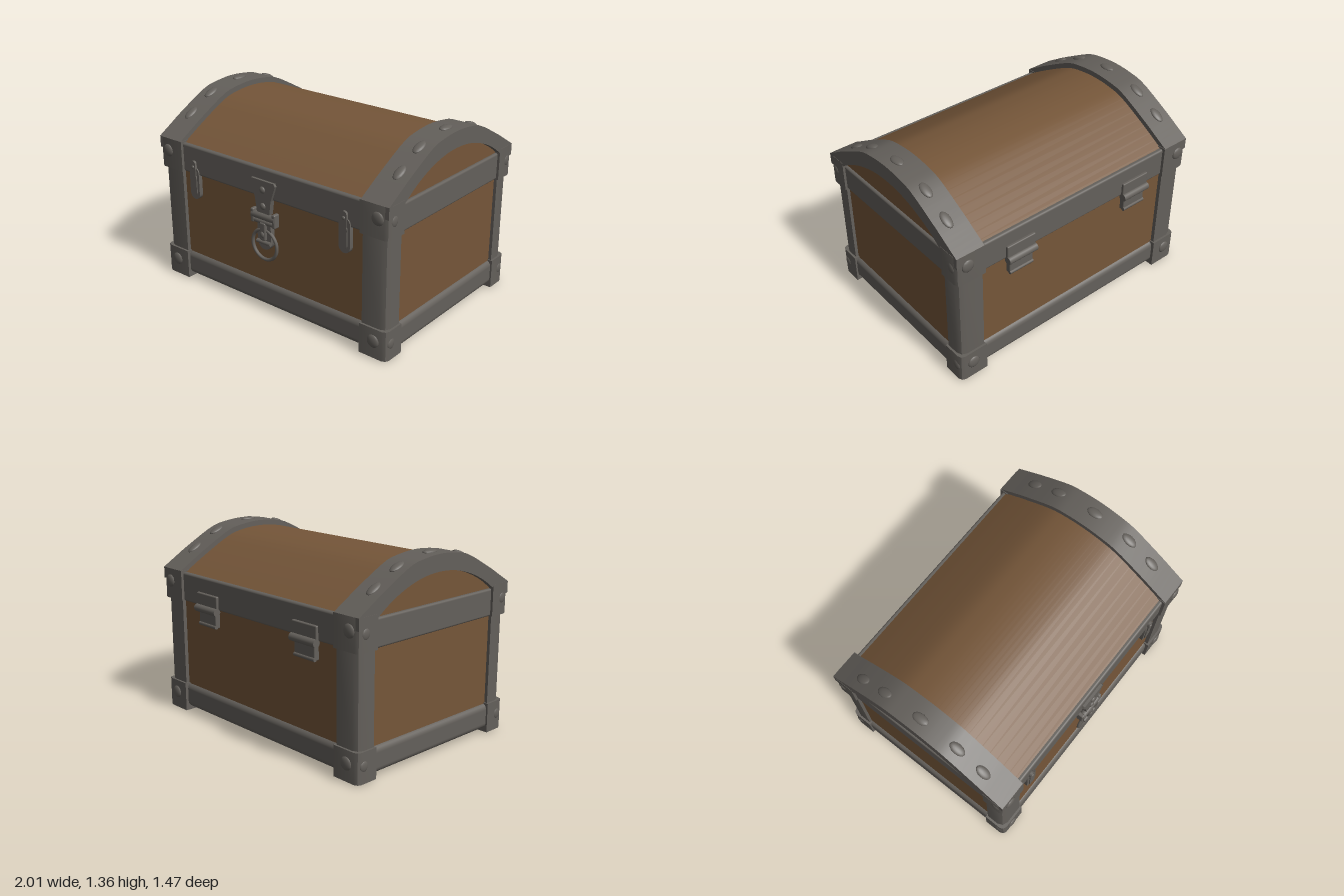
import * as THREE from 'three';
import { toCreasedNormals } from 'three/addons/utils/BufferGeometryUtils.js';
import { RoundedBoxGeometry } from 'three/addons/geometries/RoundedBoxGeometry.js';

const V = (x, y) => new THREE.Vector2(x, y);

export function createModel() {
  const chest = new THREE.Group();
  chest.name = 'chest';
  const wood = new THREE.MeshStandardMaterial({ color: 0x755639 });
  wood.name = 'brown wood';
  const metal = new THREE.MeshStandardMaterial({ color: 0x64605b });
  metal.name = 'dark metal';

  const add = (name, geo, mat, x = 0, y = 0, z = 0, parent = chest) => {
    const m = new THREE.Mesh(geo, mat);
    m.name = name;
    m.position.set(x, y, z);
    parent.add(m);
    return m;
  };
  const extrude = (pts, depth) => new THREE.ExtrudeGeometry(new THREE.Shape(pts), { depth, bevelEnabled: false });

  // mirrored arch curve sampled from a half profile of [z, y] points
  const arch = (half) => {
    const right = half.map(([z, y]) => V(z, y));
    const left = half.slice(0, -1).reverse().map(([z, y]) => V(-z, y));
    return new THREE.SplineCurve([...right, ...left]).getPoints(32);
  };
  // extrude a (z, y) profile along x, centred on x = 0
  const alongX = (pts, width) => toCreasedNormals(
    extrude(pts, width).rotateY(-Math.PI / 2).translate(width / 2, 0, 0), 0.6);

  // wooden body and lid
  add('body', new THREE.BoxGeometry(1.92, 0.96, 1.34), wood, 0, 0.54, 0);
  const lidArc = arch([[0.685, 1.035], [0.5, 1.145], [0.28, 1.26], [0.14, 1.295], [0, 1.305]]);
  add('lid', alongX([V(0.685, 0.98), ...lidArc, V(-0.685, 0.98)], 1.92), wood);

  // arched metal bands at both ends of the lid
  const outer = arch([[0.71, 1.06], [0.61, 1.12], [0.5, 1.185], [0.28, 1.3], [0.15, 1.331], [0, 1.343]]);
  const inner = arch([[0.56, 1.03], [0.44, 1.11], [0.3, 1.175], [0.15, 1.217], [0, 1.23]]).reverse();
  const bandGeo = alongX([V(0.71, 0.98), ...outer, V(-0.71, 0.98), V(-0.56, 0.98), ...inner, V(0.56, 0.98)], 0.21);

  // upright with a chamfered outer corner; sx and sz choose the corner
  const upright = (sx, sz, x0, x1, z0, z1, y0, y1, c) => {
    const pts = [[x0, z0], [x1, z0], [x1, z1 - c], [x1 - c * 0.3, z1 - c * 0.3], [x1 - c, z1], [x0, z1]];
    const geo = extrude(pts.map(([x, z]) => V(x * sx, -z * sz)), y1 - y0);
    return toCreasedNormals(geo.rotateX(-Math.PI / 2).translate(0, y0, 0), 0.7);
  };
  const dome = new THREE.SphereGeometry(1, 14, 10);
  const rivet = (x, y, z, rx, ry, rz, parent = chest) => {
    const m = add('rivet', dome, metal, x, y, z, parent);
    m.scale.set(rx, ry, rz);
    return m;
  };

  for (const sx of [-1, 1]) {
    add('lidBand', bandGeo, metal, sx * 0.89, 0, 0);
    for (const [z, y, tilt] of [[0.49, 1.19, 0.52], [0.29, 1.295, 0.4], [0, 1.343, 0], [-0.3, 1.29, -0.4], [-0.5, 1.185, -0.52]])
      rivet(sx * 0.905, y, z, 0.034, 0.016, 0.06).rotation.x = tilt;
    // end rails
    add('lowerEndRail', new RoundedBoxGeometry(0.17, 0.185, 1.2, 4, 0.045), metal, sx * 0.9, 0.125, 0);
    add('upperEndRail', new RoundedBoxGeometry(0.12, 0.19, 1.2, 3, 0.015), metal, sx * 0.92, 0.935, 0);
    // corner posts, caps and their rivets
    for (const sz of [-1, 1]) {
      add('cornerPost', upright(sx, sz, 0.795, 0.982, 0.56, 0.697, 0.2, 0.86, 0.05), metal);
      add('bottomCap', upright(sx, sz, 0.785, 0.997, 0.55, 0.712, 0.01, 0.22, 0.035), metal);
      add('topCap', upright(sx, sz, 0.78, 0.997, 0.55, 0.712, 0.84, 1.06, 0.035), metal);
      rivet(sx * 0.915, 0.97, sz * 0.712, 0.045, 0.045, 0.016);
      rivet(sx * 0.895, 0.13, sz * 0.712, 0.045, 0.045, 0.016);
      rivet(sx * 0.99, 0.955, sz * 0.65, 0.014, 0.04, 0.035);
      rivet(sx * 0.99, 0.125, sz * 0.655, 0.014, 0.04, 0.035);
      rivet(sx * 0.9, 0.012, sz * 0.64, 0.045, 0.012, 0.04);
    }
  }

  // long rails, front and back
  for (const sz of [-1, 1]) {
    add('lowerLongRail', new RoundedBoxGeometry(1.64, 0.185, 0.14, 4, 0.045), metal, 0, 0.127, sz * 0.622);
    add('upperLongRail', new RoundedBoxGeometry(1.64, 0.207, 0.1, 3, 0.015), metal, 0, 0.944, sz * 0.642);
  }

  // small front catches: a rounded strap with a narrow tongue and pin
  const capsule = (w, y0, y1) => {
    const pts = [];
    for (let i = 0; i <= 20; i++) {
      const a = (i % 11) / 10 * Math.PI + (i > 10 ? Math.PI : 0);
      pts.push(V(Math.cos(a) * w, (i > 10 ? y0 + w : y1 - w) + Math.sin(a) * w));
    }
    pts.push(V(w, y0 + w));
    return pts;
  };
  for (const x of [-0.675, 0.655]) {
    const g = new THREE.Group();
    g.name = 'frontCatch';
    g.position.x = x;
    chest.add(g);
    add('strap', toCreasedNormals(extrude(capsule(0.045, 0.66, 0.9), 0.035), 0.6), metal, 0, 0, 0.665, g);
    add('strapRidge', toCreasedNormals(extrude(capsule(0.026, 0.69, 0.85), 0.01), 0.6), metal, 0, 0, 0.698, g);
    add('tongue', toCreasedNormals(extrude(capsule(0.022, 0.82, 0.945), 0.02), 0.6), metal, 0, 0, 0.688, g);
    rivet(0, 0.9, 0.706, 0.014, 0.014, 0.01, g);
  }

  // central latch
  const latch = new THREE.Group();
  latch.name = 'latch';
  latch.position.x = -0.017;
  chest.add(latch);
  const plate = [[-0.055, 0.74], [0.055, 0.74], [0.07, 0.84], [0.11, 0.95], [0.1, 0.97], [-0.1, 0.97], [-0.11, 0.95], [-0.07, 0.84]];
  add('latchPlate', extrude(plate.map(([x, y]) => V(x, y)), 0.035), metal, 0, 0, 0.675, latch);
  for (const y of [0.905, 0.79]) rivet(0, y, 0.71, 0.024, 0.024, 0.014, latch);
  for (const [y, r, w] of [[0.715, 0.026, 0.2], [0.675, 0.018, 0.17]])
    add('latchBarrel', new THREE.CylinderGeometry(r, r, w, 12).rotateZ(Math.PI / 2), metal, 0, y, 0.7, latch);
  for (const s of [-1, 1])
    add('latchLug', new RoundedBoxGeometry(0.03, 0.1, 0.05, 2, 0.01), metal, s * 0.095, 0.705, 0.695, latch);
  add('hasp', toCreasedNormals(extrude(capsule(0.06, 0.475, 0.72), 0.035), 0.6), metal, 0, 0, 0.67, latch);
  add('staple', new RoundedBoxGeometry(0.05, 0.13, 0.03, 2, 0.01), metal, 0, 0.61, 0.71, latch);
  rivet(0, 0.59, 0.724, 0.018, 0.022, 0.01, latch);
  add('staplePin', new THREE.CylinderGeometry(0.014, 0.014, 0.12, 10).rotateZ(Math.PI / 2), metal, 0, 0.53, 0.71, latch);
  add('pullRing', new THREE.TorusGeometry(0.108, 0.012, 8, 36), metal, 0, 0.51, 0.702, latch);

  // back hinges: two leaves around a rolled barrel
  for (const x of [-0.515, 0.49]) {
    const g = new THREE.Group();
    g.name = 'backHinge';
    g.position.x = x;
    chest.add(g);
    add('upperLeaf', new RoundedBoxGeometry(0.23, 0.1, 0.03, 2, 0.008), metal, 0, 0.89, -0.695, g);
    add('lowerLeaf', new RoundedBoxGeometry(0.19, 0.11, 0.045, 2, 0.008), metal, 0, 0.765, -0.683, g);
    add('barrel', new THREE.CylinderGeometry(0.028, 0.028, 0.23, 14).rotateZ(Math.PI / 2), metal, 0, 0.83, -0.707, g);
    add('lowerLip', new THREE.CylinderGeometry(0.014, 0.014, 0.19, 10).rotateZ(Math.PI / 2), metal, 0, 0.72, -0.7, g);
  }
  return chest;
}
